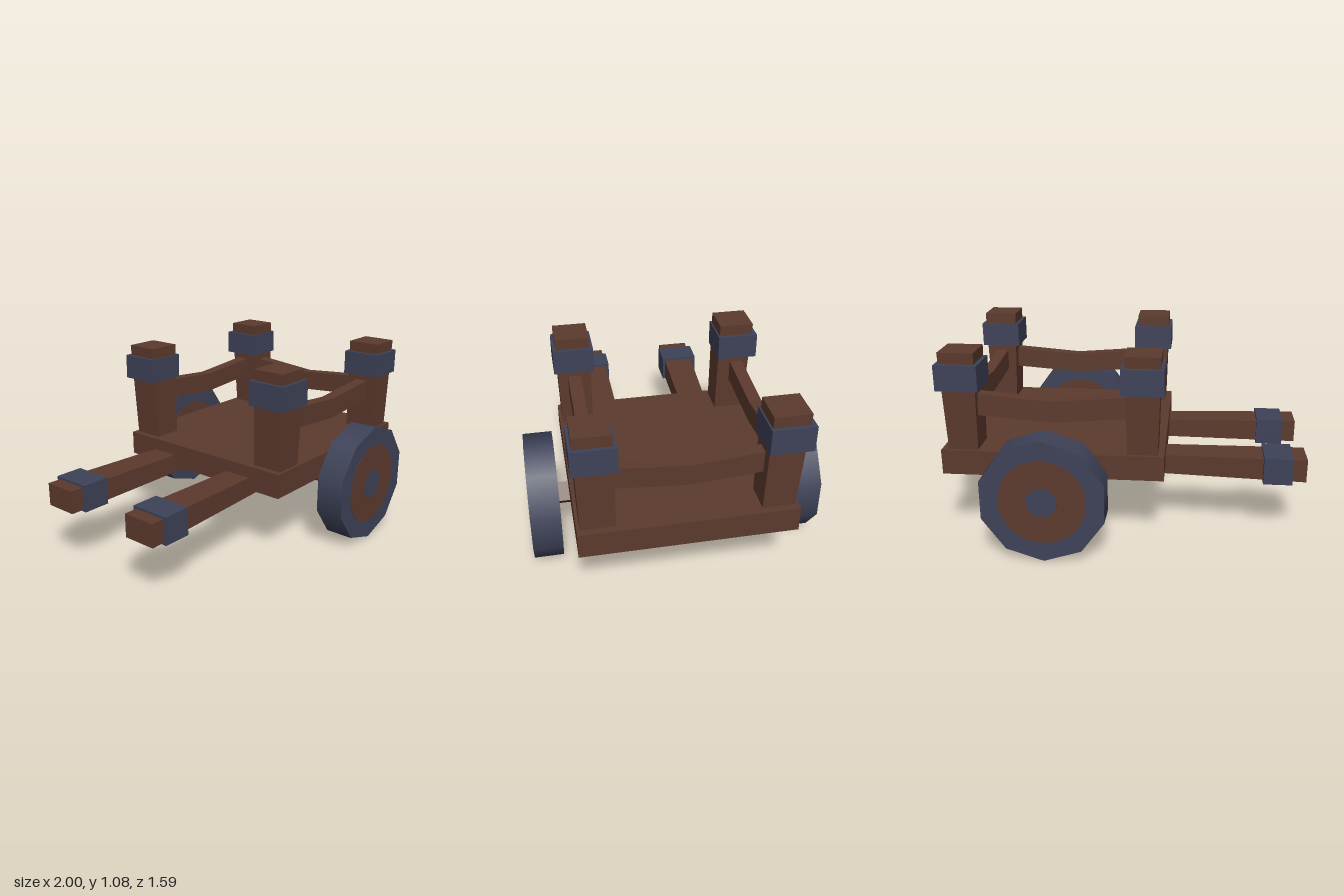
import * as THREE from 'three';

const wood = new THREE.MeshStandardMaterial({ name: 'brownWood', color: 0x5c3a2d });
const iron = new THREE.MeshStandardMaterial({ name: 'blueIron', color: 0x3e4258 });

export function createModel() {
  const model = new THREE.Group();
  model.name = 'handCart';

  const add = (name, geometry, material, parent = model) => {
    const mesh = new THREE.Mesh(geometry, material);
    mesh.name = name;
    parent.add(mesh);
    return mesh;
  };

  // Box given by its limits on each axis
  const block = (name, [x0, x1], [y0, y1], [z0, z1], material) =>
    add(name, new THREE.BoxGeometry(x1 - x0, y1 - y0, z1 - z0)
      .translate((x0 + x1) / 2, (y0 + y1) / 2, (z0 + z1) / 2), material);

  // Unit box whose corners are moved by a rule, with flat faces
  const shapedBox = (name, rule, material) => {
    const g = new THREE.BoxGeometry(1, 1, 1).toNonIndexed();
    const p = g.attributes.position;
    for (let i = 0; i < p.count; i++) {
      p.setXYZ(i, ...rule(p.getX(i) + 0.5, p.getY(i) + 0.5, p.getZ(i) + 0.5));
    }
    g.computeVertexNormals();
    return add(name, g, material);
  };
  const mix = THREE.MathUtils.lerp;

  // Cart bed and diamond-section axle
  block('bed', [-0.22, 0.995], [0.39, 0.53], [-0.57, 0.567], wood);
  const axle = new THREE.CylinderGeometry(0.075, 0.075, 1.28, 4).toNonIndexed();
  axle.computeVertexNormals();
  add('axle', axle.rotateX(Math.PI / 2).translate(0.404, 0.34, 0), wood);

  // Corner posts flaring upward, each with an iron band
  const postX = [
    { bottom: [-0.185, -0.02], top: [-0.2, -0.008], band: [-0.217, 0.01] },
    { bottom: [0.793, 0.955], top: [0.775, 0.967], band: [0.757, 0.987] },
  ];
  const postZ = [
    { bottom: [0.37, 0.55], top: [0.373, 0.565], band: [0.353, 0.58] },
    { bottom: [-0.55, -0.378], top: [-0.58, -0.388], band: [-0.605, -0.378] },
  ];
  for (const px of postX) {
    for (const pz of postZ) {
      shapedBox('post', (x, y, z) => [
        mix(mix(...px.bottom, x), mix(...px.top, x), y),
        mix(0.52, 1.08, y),
        mix(mix(...pz.bottom, z), mix(...pz.top, z), y),
      ], wood);
      block('postBand', px.band, [0.877, 1.018], pz.band, iron);
    }
  }

  // Sagging rails between the posts
  const rail = (name, length, depth) => {
    const h = length / 2;
    const s = new THREE.Shape([
      [-h, 0.725], [0, 0.693], [h, 0.725], [h, 0.845], [0, 0.81], [-h, 0.845],
    ].map(([x, y]) => new THREE.Vector2(x, y)));
    const g = new THREE.ExtrudeGeometry(s, { depth, bevelEnabled: false });
    return add(name, g.translate(0, 0, -depth / 2), wood);
  };
  rail('frontRail', 0.85, 0.072).position.set(0.39, 0, 0.466);
  rail('backRail', 0.85, 0.072).position.set(0.39, 0, -0.492);
  const sideRail = rail('sideRail', 0.8, 0.07);
  sideRail.position.set(0.87, 0, -0.005);
  sideRail.rotation.y = Math.PI / 2;

  // Pull handles widening toward the grip, each with an iron band
  const handles = [
    { tip: [0.2, 0.39], root: [0.2, 0.36], band: [0.18, 0.405] },
    { tip: [-0.41, -0.22], root: [-0.37, -0.208], band: [-0.43, -0.203] },
  ];
  for (const { tip, root, band } of handles) {
    shapedBox('handle', (x, y, z) => [
      mix(-1, -0.155, x),
      mix(mix(0.34, 0.47, y), mix(0.35, 0.46, y), x),
      mix(mix(...tip, z), mix(...root, z), x),
    ], wood);
    block('handleBand', [-0.923, -0.763], [0.328, 0.482], band, iron);
  }

  // Ten-sided wheels with wooden faces and iron hubs on both sides
  const disc = (radius, depth, sides) =>
    new THREE.CylinderGeometry(radius, radius, depth, sides).rotateX(Math.PI / 2);
  for (const side of [1, -1]) {
    const wheel = new THREE.Group();
    wheel.name = side > 0 ? 'frontWheel' : 'backWheel';
    wheel.position.set(0.405, 0.345, side * 0.709);
    add('rim', disc(0.345, 0.16, 10), iron, wheel);
    add('woodenFace', disc(0.235, 0.164, 32), wood, wheel);
    add('hub', disc(0.085, 0.168, 8).rotateZ(Math.PI / 8), iron, wheel);
    model.add(wheel);
  }

  return model;
}
